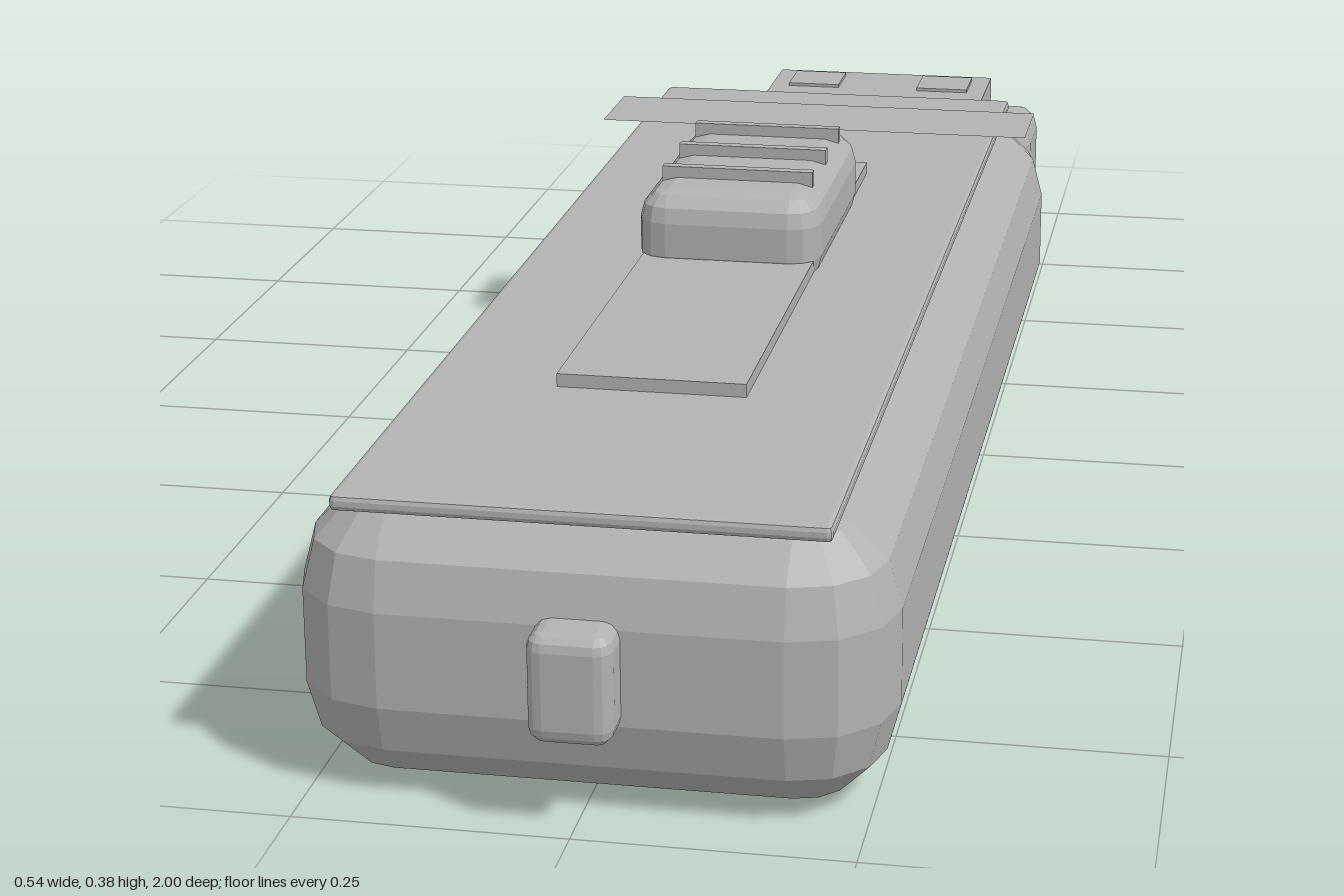
import * as THREE from 'three';
import { ConvexGeometry } from 'three/addons/geometries/ConvexGeometry.js';

const grey = new THREE.MeshStandardMaterial({ color: 0xb2b2b2 });
grey.name = 'grey plastic';
grey.side = THREE.DoubleSide;

// Box given by its limits on each axis
function box(name, [x0, x1], [y0, y1], [z0, z1]) {
  const mesh = new THREE.Mesh(new THREE.BoxGeometry(x1 - x0, y1 - y0, z1 - z0), grey);
  mesh.position.set((x0 + x1) / 2, (y0 + y1) / 2, (z0 + z1) / 2);
  mesh.name = name;
  return mesh;
}

// Faceted bevelled box: the hull of eight ball corners, each split in `seg` steps
function bevelBox(name, [x0, x1], [y0, y1], [z0, z1], r, seg = 3) {
  const points = [];
  const hx = (x1 - x0) / 2 - r, hy = (y1 - y0) / 2 - r, hz = (z1 - z0) / 2 - r;
  for (const sx of [-1, 1]) for (const sy of [-1, 1]) for (const sz of [-1, 1]) {
    for (let i = 0; i <= seg; i++) for (let j = 0; j <= (i === seg ? 0 : seg); j++) {
      const a = (i / seg) * Math.PI / 2, b = (j / seg) * Math.PI / 2;
      points.push(new THREE.Vector3(
        sx * (hx + r * Math.cos(a) * Math.cos(b)),
        sy * (hy + r * Math.sin(a)),
        sz * (hz + r * Math.cos(a) * Math.sin(b))));
    }
  }
  const mesh = new THREE.Mesh(new ConvexGeometry(points), grey);
  mesh.position.set((x0 + x1) / 2, (y0 + y1) / 2, (z0 + z1) / 2);
  mesh.name = name;
  return mesh;
}

export function createModel() {
  const model = new THREE.Group();
  model.name = 'flashDrive';

  // Casing, collar and end button
  model.add(bevelBox('body', [-0.27, 0.27], [0, 0.27], [-0.555, 0.96], 0.09));
  model.add(bevelBox('collar', [-0.245, 0.245], [0.033, 0.243], [-0.685, -0.545], 0.027));
  model.add(bevelBox('endButton', [-0.038, 0.038], [0.085, 0.187], [0.93, 1], 0.015));

  // Top plate and the thin band lying across it
  model.add(bevelBox('topPanel', [-0.22, 0.22], [0.268, 0.283], [-0.53, 0.95], 0.005, 2));
  const band = new THREE.Mesh(new THREE.PlaneGeometry(0.52, 0.12), grey);
  band.rotation.x = -Math.PI / 2;
  band.position.set(0, 0.29, -0.38);
  band.name = 'labelBand';
  model.add(band);

  // Slider on its track, with grip ridges
  model.add(box('sliderTrack', [-0.091, 0.091], [0.28, 0.296], [-0.155, 0.64]));
  model.add(bevelBox('slider', [-0.097, 0.097], [0.265, 0.365], [-0.055, 0.257], 0.032));
  for (const z of [-0.002, 0.09, 0.182]) {
    model.add(box('gripRidge', [-0.081, 0.081], [0.355, 0.377], [z - 0.006, z + 0.006]));
  }

  // Plug with contact pads above and below and a raised end plate
  model.add(box('plug', [-0.15, 0.15], [0.082, 0.196], [-0.997, -0.66]));
  model.add(box('plugTongue', [-0.135, 0.135], [0.095, 0.135], [-1, -0.99]));
  for (const x of [-0.09, 0.09]) for (const y of [0.081, 0.197]) {
    model.add(box('plugPad', [x - 0.035, x + 0.035], [y - 0.003, y + 0.003], [-0.978, -0.905]));
  }
  return model;
}
